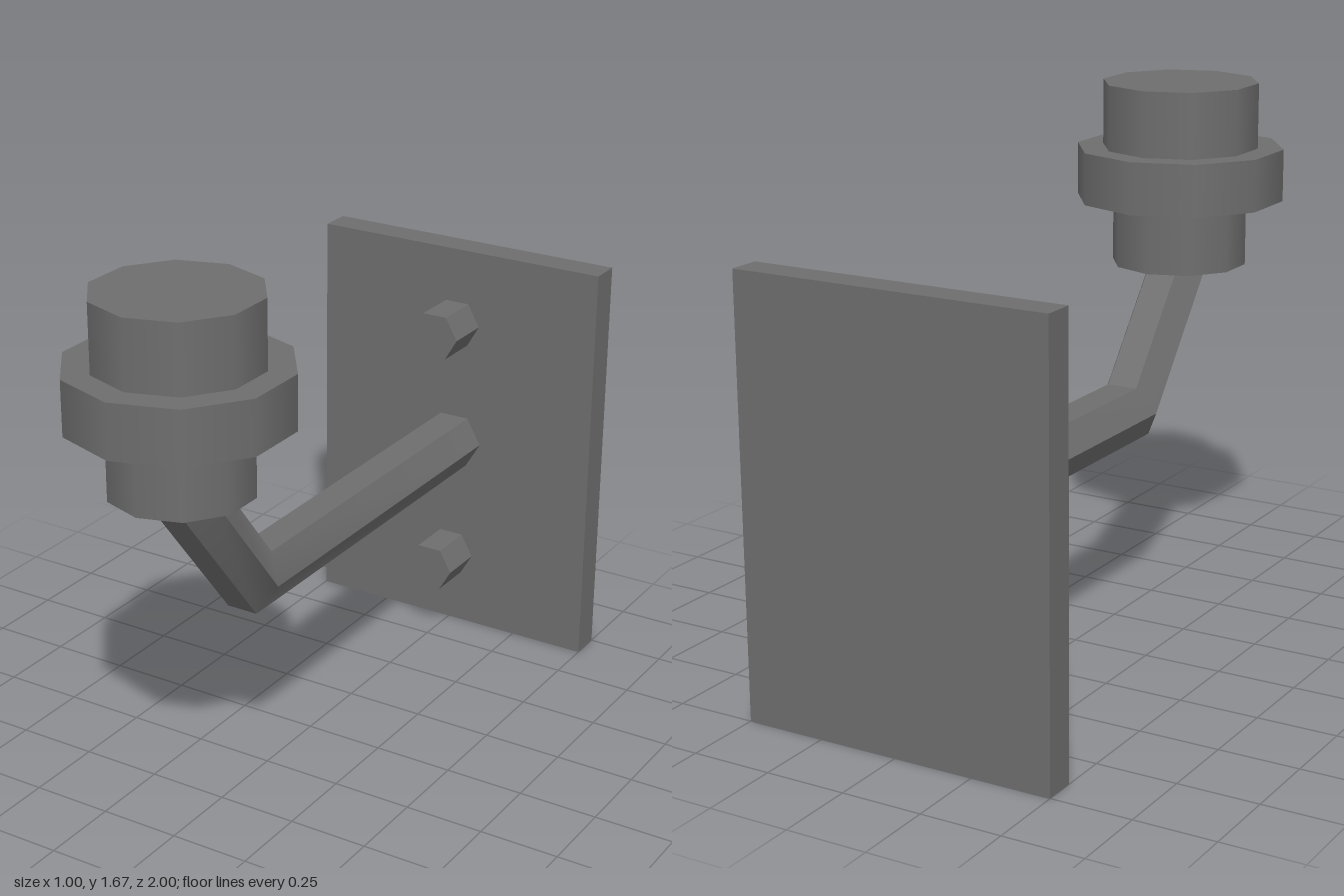
import * as THREE from 'three';
import { toCreasedNormals } from 'three/addons/utils/BufferGeometryUtils.js';

const smooth = new THREE.MeshStandardMaterial({ color: 0x6e6e6e });
const faceted = new THREE.MeshStandardMaterial({ color: 0x6e6e6e, flatShading: true });

function add(group, name, geometry, material, x, y, z) {
  const mesh = new THREE.Mesh(geometry, material);
  mesh.name = name;
  mesh.position.set(x, y, z);
  group.add(mesh);
}

// Hexagonal bar swept through mitred stations; (uy, uz) points to the top flat.
function hexBar(stations, halfWidth, halfHeight) {
  const pos = [], index = [];
  const hex = [[1, 0], [0.5, 1], [-0.5, 1], [-1, 0], [-0.5, -1], [0.5, -1]];
  for (const { y, z, uy, uz } of stations) {
    for (const [a, b] of hex) {
      pos.push(a * halfWidth, y + b * halfHeight * uy, z + b * halfHeight * uz);
    }
  }
  for (let s = 0; s < stations.length - 1; s++) {
    for (let i = 0; i < 6; i++) {
      const a = s * 6 + i, b = s * 6 + (i + 1) % 6;
      index.push(a, b, b + 6, a, b + 6, a + 6);
    }
  }
  // End caps
  const last = (stations.length - 1) * 6;
  for (let i = 1; i < 5; i++) {
    index.push(0, i + 1, i, last, last + i, last + i + 1);
  }
  const geometry = new THREE.BufferGeometry();
  geometry.setAttribute('position', new THREE.Float32BufferAttribute(pos, 3));
  geometry.setIndex(index);
  // The side facets flow softly round the bend; the corners stay sharp
  return toCreasedNormals(geometry, Math.PI / 6);
}

export function createModel() {
  const model = new THREE.Group();
  model.name = 'wallLamp';

  // Wall plate
  add(model, 'wallPlate', new THREE.BoxGeometry(1, 1.335, 0.1), faceted, 0, 0.6675, -0.95);

  // Hexagonal bolts, corners pointing sideways
  for (const [name, y] of [['lowerBolt', 0.25], ['upperBolt', 1.082]]) {
    const bolt = new THREE.CylinderGeometry(0.083, 0.083, 0.15, 6);
    bolt.rotateY(Math.PI / 2).rotateX(Math.PI / 2);
    add(model, name, bolt, faceted, 0, y, -0.825);
  }

  // Bent arm: out from the plate, then up into the socket
  const arm = hexBar([
    { y: 0.667, z: -0.9, uy: 1, uz: 0 },
    { y: 0.667, z: 0.335, uy: 1, uz: -0.49 },
    { y: 1.082, z: 0.667, uy: 0.624, uz: -0.782 },
  ], 0.1, 0.085);
  add(model, 'arm', arm, smooth, 0, 0, 0);

  // Ten-sided lamp head, stacked from the bottom up
  const head = new THREE.Group();
  head.name = 'lampHead';
  head.position.z = 0.667;
  for (const [name, radius, bottom, top] of [
    ['socket', 0.216, 1.082, 1.293],
    ['collar', 0.333, 1.293, 1.459],
    ['lamp', 0.25, 1.459, 1.667],
  ]) {
    const geometry = new THREE.CylinderGeometry(radius, radius, top - bottom, 10);
    add(head, name, geometry, smooth, 0, (bottom + top) / 2, 0);
  }
  model.add(head);

  return model;
}
